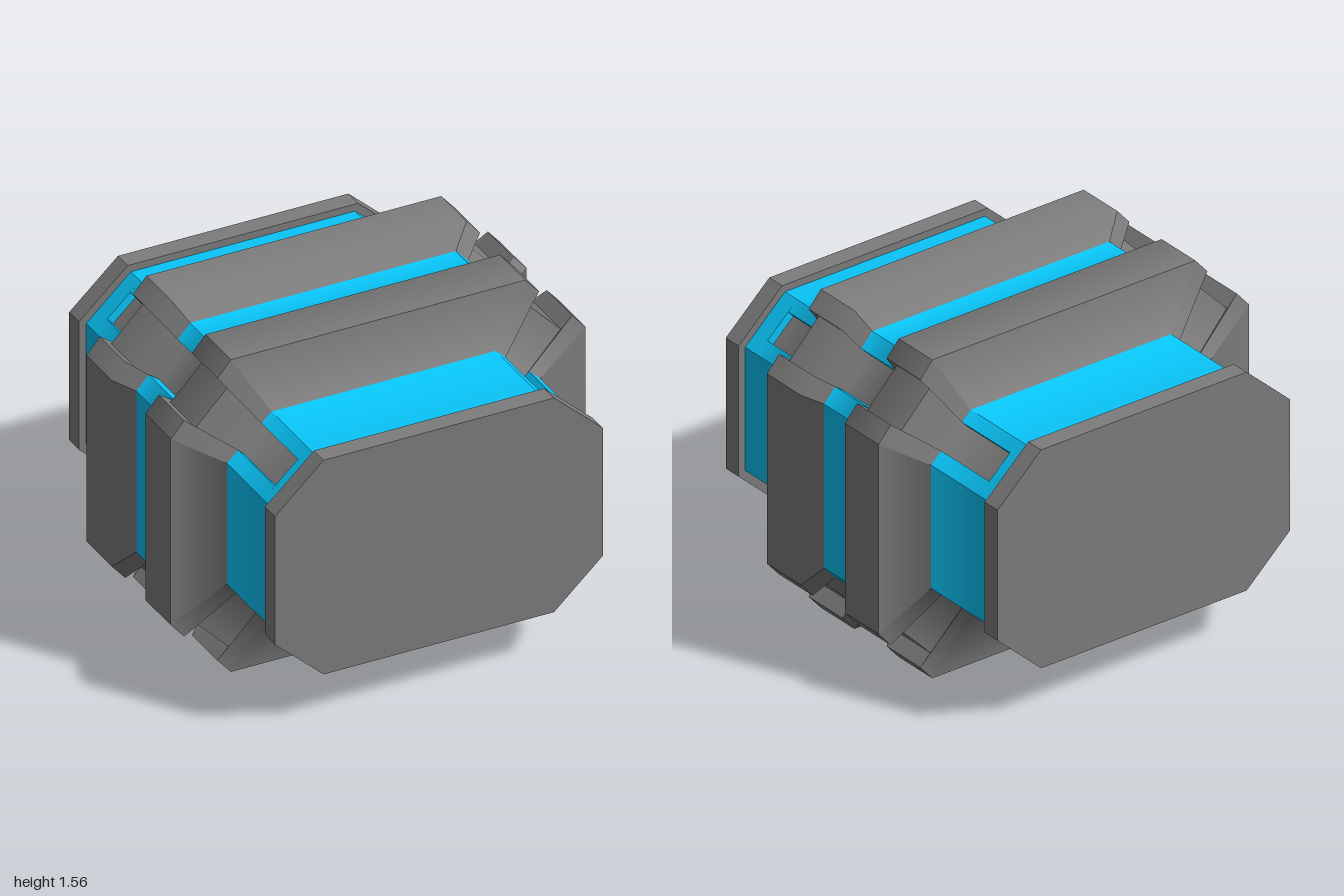
import * as THREE from 'three';

const CY = 0.78; // height of the central axis
const grey = new THREE.MeshStandardMaterial({ color: 0x7c7c7c });
const blue = new THREE.MeshStandardMaterial({ color: 0x08c4f8 });

// One quadrant (top edge -> side edge), relative to the axis:
// top corner, lip, notch floor start, notch floor end, lip, side corner
const BODY = [[0.54, 0.5], [0.588, 0.455], [0.56, 0.425], [0.67, 0.323], [0.70, 0.353], [0.755, 0.302]];
const RIB = [[0.71, 0.78], [0.775, 0.705], [0.72, 0.652], [0.88, 0.488], [0.935, 0.54], [1.0, 0.465]];
const WAIST = [[0.64, 0.67], [0.70, 0.605], [0.66, 0.565], [0.79, 0.43], [0.84, 0.468], [0.90, 0.402]];

// Cross-sections from the middle to the front; the back mirrors them
const HALF = [[0.12, WAIST], [0.155, RIB], [0.39, RIB], [0.44, BODY], [0.775, BODY]];
const SECTIONS = [...HALF.map(([z, q]) => [-z, q]).reverse(), ...HALF];
const SHARP = [2, 7]; // outer rib edges stay sharp along z

// Mirror a quadrant into a full counter-clockwise outline
function outline(q) {
  const r = [...q].reverse();
  return [
    ...r,
    ...q.map(([x, y]) => [-x, y]),
    ...r.map(([x, y]) => [-x, -y]),
    ...q.map(([x, y]) => [x, -y]),
  ];
}

const RINGS = SECTIONS.map(([z, q]) => outline(q).map(([x, y]) => new THREE.Vector3(x, y + CY, z)));
const N = RINGS[0].length;
const LAST = RINGS.length - 2;

// Area-weighted normal of the quad in band k, strip i
function quadNormal(k, i) {
  const j = (i + 1) % N;
  const d1 = RINGS[k + 1][j].clone().sub(RINGS[k][i]);
  const d2 = RINGS[k + 1][i].clone().sub(RINGS[k][j]);
  return d1.cross(d2);
}

// Normal of band k at its ring, blended with the neighbouring band of the same strip
function edgeNormal(k, ring, i) {
  const n = quadNormal(k, i);
  const other = ring === k ? k - 1 : k + 1;
  if (other >= 0 && other <= LAST && !SHARP.includes(ring)) n.add(quadNormal(other, i));
  return n.normalize();
}

// Skin of the given bands; keep(i) selects the strips. Smooth along z, creased around
function skin(bands, keep) {
  const pos = [], nor = [];
  for (const k of bands) {
    for (let i = 0; i < N; i++) {
      if (!keep(i)) continue;
      const j = (i + 1) % N;
      const n0 = edgeNormal(k, k, i), n1 = edgeNormal(k, k + 1, i);
      const put = (p, n) => { pos.push(p.x, p.y, p.z); nor.push(n.x, n.y, n.z); };
      const [a, b, c, d] = [RINGS[k][i], RINGS[k][j], RINGS[k + 1][j], RINGS[k + 1][i]];
      put(a, n0); put(b, n0); put(c, n1);
      put(a, n0); put(c, n1); put(d, n1);
    }
  }
  const g = new THREE.BufferGeometry();
  g.setAttribute('position', new THREE.Float32BufferAttribute(pos, 3));
  g.setAttribute('normal', new THREE.Float32BufferAttribute(nor, 3));
  return g;
}

// Chamfered rectangular plate: half sizes w, h; top edge ends at cx, side edge at cy
function plate(w, h, cx, cy, z0, z1) {
  const pts = outline([[cx, h], [w, cy]]).map(([x, y]) => new THREE.Vector2(x, y + CY));
  const g = new THREE.ExtrudeGeometry(new THREE.Shape(pts), { depth: z1 - z0, bevelEnabled: false });
  return g.translate(0, 0, z0);
}

export function createModel() {
  const model = new THREE.Group();
  model.name = 'crate';
  const add = (name, geometry, material) => {
    const mesh = new THREE.Mesh(geometry, material);
    mesh.name = name;
    model.add(mesh);
  };
  const isFloor = (i) => i % 6 === 2;
  const isWall = (i) => !isFloor(i);
  const all = () => true;

  // Recessed band around the middle, with grey corner grooves
  add('middleBand', skin([4], isWall), blue);
  add('middleCornerGrooves', skin([4], isFloor), grey);

  for (const [side, body, rib] of [['back', 0, [1, 2, 3]], ['front', 8, [5, 6, 7]]]) {
    const slab = (a, b) => (side === 'front' ? [a, b] : [-b, -a]);

    // Raised rib with sloping flanks
    add(side + 'Rib', skin(rib, all), grey);

    // Body section with slots in its chamfered corners
    add(side + 'Body', skin([body], isWall), blue);
    add(side + 'SlotFloors', skin([body], isFloor), grey);
    add(side + 'BodyEnd', plate(0.755, 0.5, 0.54, 0.302, ...slab(0.775, 0.865)), blue);

    // End cap
    add(side + 'Cap', plate(0.79, 0.535, 0.555, 0.32, ...slab(0.86, 0.95)), grey);
  }
  return model;
}
